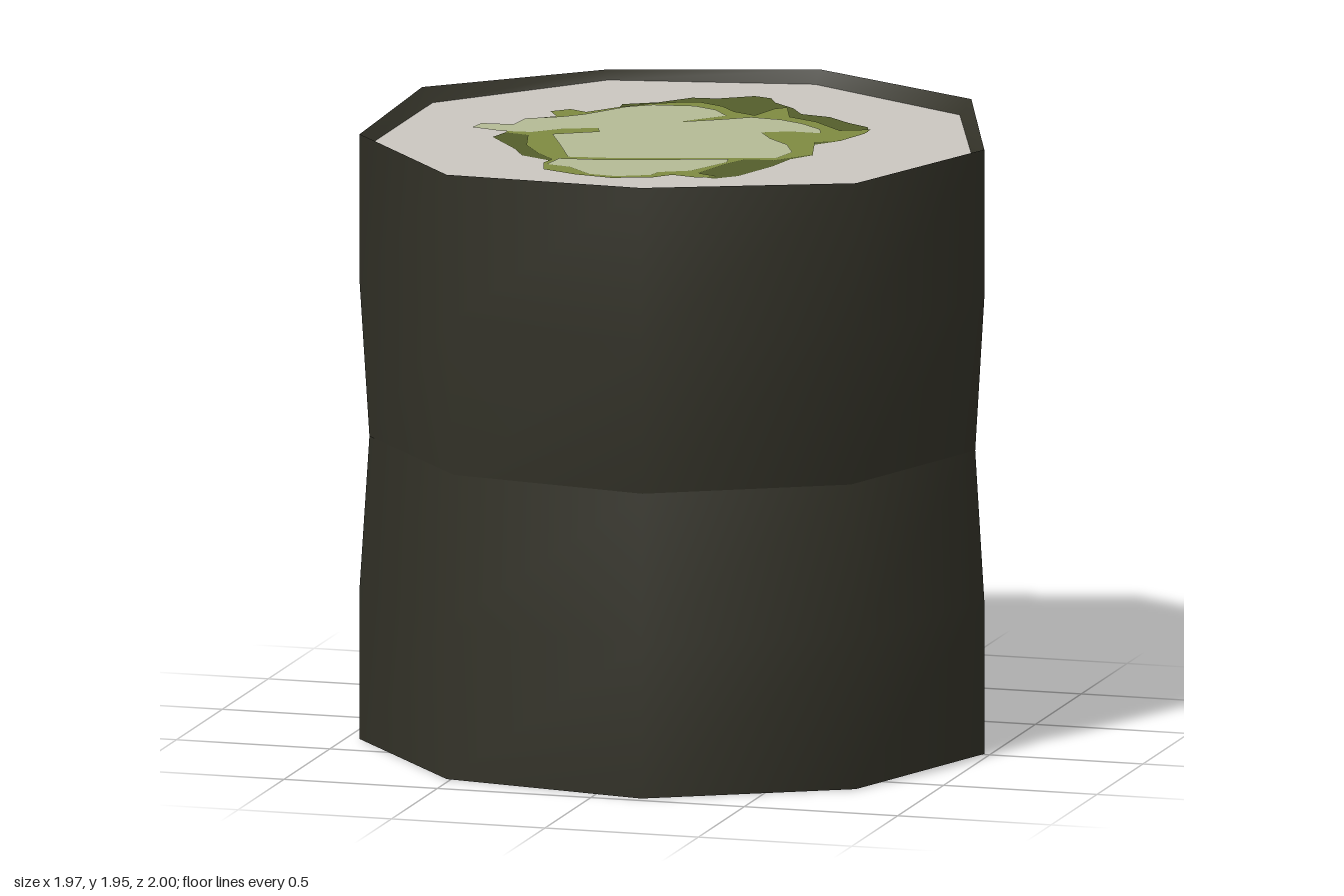
import * as THREE from 'three';

const mat = (name, color, side = THREE.FrontSide) => {
  const m = new THREE.MeshStandardMaterial({ color, side });
  m.name = name;
  return m;
};

// Slightly irregular nine-sided footprint, counter-clockwise from above
const BASE = [
  [0.98, -0.01], [0.745, -0.655], [0.15, -1.0], [-0.515, -0.875], [-0.955, -0.355],
  [-0.955, 0.325], [-0.515, 0.85], [0.155, 0.97], [0.755, 0.635],
];
const TOP_Y = [1.925, 1.947, 1.94, 1.925, 1.945, 1.927, 1.925, 1.945, 1.93];

// Filling outlines, x and z in hundredths
const DARK = [
  2, -72, 8, -70, 11, -64, 19, -57, 24, -49, 34, -47, 42, -40, 50, -35, 52, -28, 47, -11, 41, -3,
  46, 12, 41, 20, 39, 32, 33, 50, 27, 56, 13, 52, -4, 61, -29, 50, -31, 43, -41, 38, -46, 29,
  -52, 21, -58, 13, -56, 4, -48, -24, -33, -40, -34, -48, -24, -54, -16, -64, -8, -65,
];
const MID = [
  -33, -43, -26, -50, -18, -55, -11, -57, -3, -53, 3, -46, 11, -42, 14, -54, 17, -57, 22, -43,
  32, -38, 43, -27, 52, -31, 52, -24, 48, -11, 41, -7, 46, 12, 40, 20, 37, 24, 28, 25, 24, 34,
  20, 50, 27, 53, 22, 57, 13, 55, 8, 61, -4, 65, -16, 63, -28, 58, -31, 48, -30, 42, -37, 34,
  -44, 23, -48, 8, -56, 6, -56, -16, -48, -23, -52, -30, -47, -35, -41, -32,
];
const LIGHT = [
  -31, -43, -24, -48, -11, -50, -3, -46, 3, -38, -4, -30, -8, -25, 3, -32, 11, -38, 21, -37,
  29, -33, 37, -26, 39, -20, 29, -20, 21, -16, 26, -8, 34, 0, 39, 11, 37, 21, 24, 25, 8, 30,
  -13, 36, -26, 38, -34, 20, -41, 5, -28, -3, -30, -8, -40, -4, -48, 4, -58, 5, -68, 2, -67, -5,
  -57, -6, -56, -16, -46, -22, -40, -28,
];
const SLICE = [
  -28, 41, -13, 39, 8, 32, 23, 27, 24, 32, 17, 48, 8, 53, 7, 58, -3, 63, -12, 62, -21, 53, -29, 51,
];

// Horizontal ring: scaled footprint with optional replaced corners
function ring(y, scale = 1, moved = {}) {
  return BASE.map(([x, z], i) => {
    const [px, pz] = moved[i] ?? [x * scale, z * scale];
    return new THREE.Vector3(px, Array.isArray(y) ? y[i] : y, pz);
  });
}

// Smooth skin through a stack of closed rings
function loft(rings) {
  const n = BASE.length;
  const index = [];
  for (let r = 0; r < rings.length - 1; r++) {
    for (let i = 0; i < n; i++) {
      const a = r * n + i;
      const b = r * n + ((i + 1) % n);
      index.push(a, b, b + n, a, b + n, a + n);
    }
  }
  const g = new THREE.BufferGeometry().setFromPoints(rings.flat());
  g.setIndex(index);
  g.computeVertexNormals();
  return g;
}

// Flat horizontal face facing up or down
function plate(points, y, up) {
  const s = up ? -1 : 1;
  const shape = new THREE.Shape(points.map(([x, z]) => new THREE.Vector2(x, z * s)));
  return new THREE.ShapeGeometry(shape).rotateX((s * Math.PI) / 2).translate(0, y, 0);
}

const pairs = (flat, scale) =>
  Array.from({ length: flat.length / 2 }, (_, i) => [
    (flat[2 * i] * scale) / 100,
    (flat[2 * i + 1] * scale) / 100,
  ]);

export function createModel() {
  const group = new THREE.Group();
  const seaweed = mat('seaweed', 0x333228, THREE.DoubleSide);
  const rice = mat('rice', 0xcbc7c0);
  const darkGreen = mat('dark green', 0x545e2c);
  const midGreen = mat('mid green', 0x7f8b41);
  const paleGreen = mat('pale green', 0xb5bb96);

  const add = (name, geometry, material) => {
    const mesh = new THREE.Mesh(geometry, material);
    mesh.name = name;
    group.add(mesh);
  };

  // Two stacked wraps pinched where they meet
  const pinch = ring(0.965, 0.97, { 2: [0.15, -1.0] });
  const rim = ring(TOP_Y);
  const lowerBulge = ring(0.49, 1, { 4: [-0.985, -0.37], 8: [0.77, 0.65] });
  const upperBulge = ring(1.45, 1, { 7: [0.16, 0.995] });
  add('lowerWrap', loft([ring(0), lowerBulge, pinch]), seaweed);
  add('upperWrap', loft([pinch, upperBulge, rim]), seaweed);

  // Rim sloping in to the sunken rice
  add('wrapRim', loft([rim, ring(1.9, 0.96)]), seaweed);

  // Rice ends, each with layered filling
  for (const up of [true, false]) {
    const end = up ? 'top' : 'bottom';
    const y0 = up ? 1.9 : 0.006;
    const step = up ? 0.002 : -0.002;
    const riceScale = up ? 0.96 : 1;
    add(`${end}Rice`, plate(BASE.map(([x, z]) => [x * riceScale, z * riceScale]), y0, up), rice);
    const layers = [
      ['FillingShade', DARK, darkGreen, 1],
      ['FillingEdge', MID, midGreen, 2],
      ['FillingFlesh', LIGHT, paleGreen, 3],
      ['FillingSlice', SLICE, paleGreen, 3],
    ];
    for (const [name, outline, material, level] of layers) {
      add(end + name, plate(pairs(outline, up ? 1 : 1.04), y0 + step * level, up), material);
    }
  }
  return group;
}
